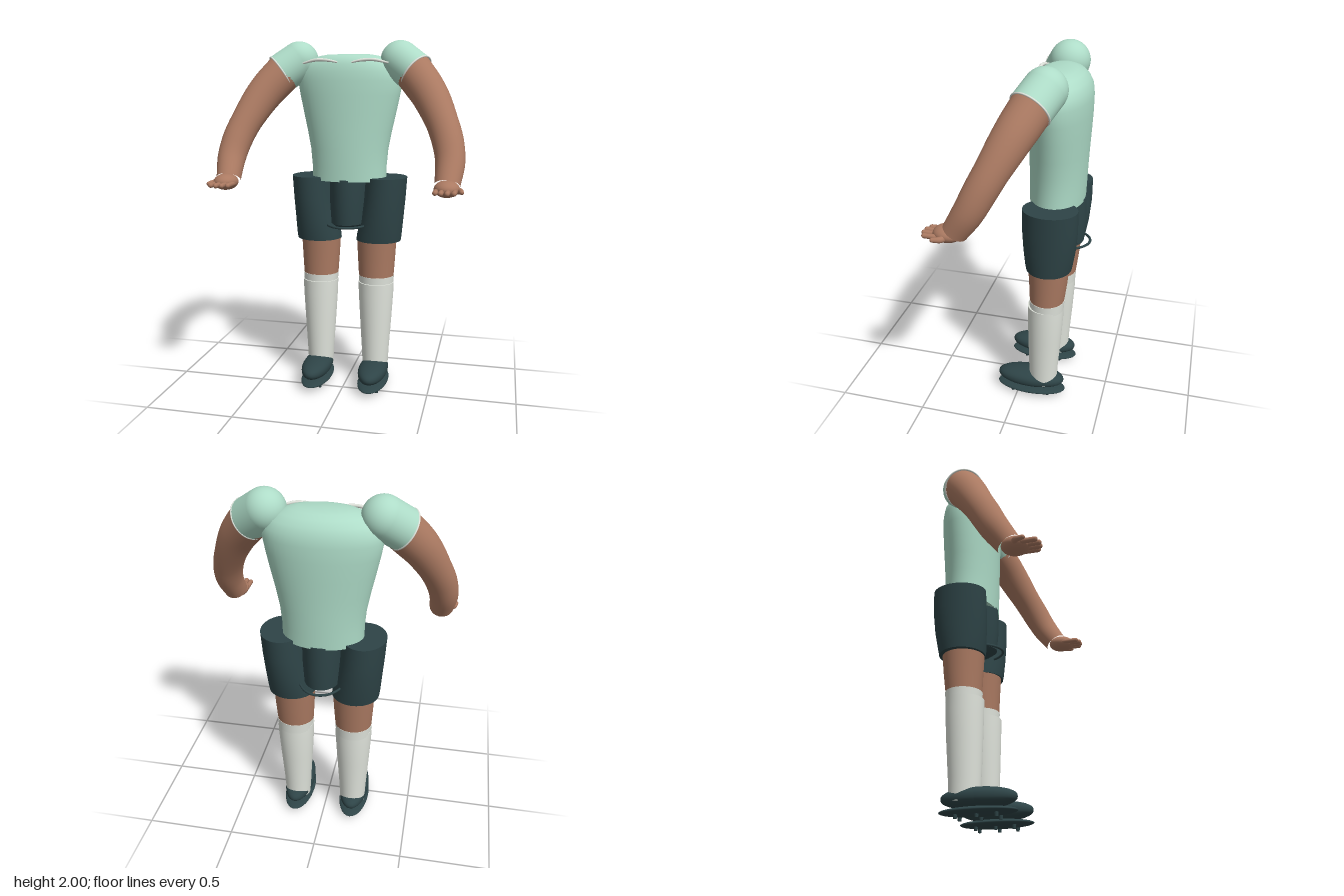
import * as THREE from 'three';
import { toCreasedNormals } from 'three/addons/utils/BufferGeometryUtils.js';

const material = (name, color) => {
  const m = new THREE.MeshStandardMaterial({ color });
  m.name = name;
  return m;
};

// Vertical form through elliptical sections [y, x, z, halfWidth, halfDepth], bottom to top
function loft(sections, sides = 40) {
  const n = sections.length - 1;
  const geo = new THREE.CylinderGeometry(1, 1, 1, sides, n);
  const p = geo.attributes.position;
  for (let i = 0; i < p.count; i++) {
    const [y, x, z, w, d] = sections[Math.round((p.getY(i) + 0.5) * n)];
    p.setXYZ(i, x + p.getX(i) * w, y, z + p.getZ(i) * d);
  }
  return toCreasedNormals(geo, 0.7);
}

// Round limb along a curve with radii spread evenly over its length
function limb(points, radii, segments = 24, sides = 28) {
  const curve = new THREE.CatmullRomCurve3(points.map((q) => new THREE.Vector3(...q)));
  const geo = new THREE.TubeGeometry(curve, segments, 1, sides);
  const p = geo.attributes.position;
  const v = new THREE.Vector3();
  for (let i = 0; i < p.count; i++) {
    const t = Math.floor(i / (sides + 1)) / segments;
    const f = t * (radii.length - 1);
    const k = Math.min(Math.floor(f), radii.length - 2);
    const r = THREE.MathUtils.lerp(radii[k], radii[k + 1], f - k);
    const c = curve.getPointAt(t);
    v.fromBufferAttribute(p, i).sub(c).multiplyScalar(r).add(c);
    p.setXYZ(i, v.x, v.y, v.z);
  }
  return geo;
}

export function createModel() {
  const mint = material('mint shirt', 0xaedcc8);
  const skin = material('skin', 0xab7a62);
  const dark = material('dark green', 0x2e4447);
  const white = material('off white', 0xe0e4dc);
  mint.side = THREE.DoubleSide;

  const model = new THREE.Group();
  model.name = 'figure';
  const add = (parent, name, geo, mat) => {
    const mesh = new THREE.Mesh(geo, mat);
    mesh.name = name;
    parent.add(mesh);
    return mesh;
  };
  const ball = (parent, name, mat, pos, size) => {
    const mesh = add(parent, name, new THREE.SphereGeometry(1, 32, 20), mat);
    mesh.position.set(...pos);
    mesh.scale.set(...size);
    return mesh;
  };

  // Shirt body
  add(model, 'torso', loft([
    [1.22, 0, -0.178, 0.217, 0.148],
    [1.3, 0, -0.179, 0.217, 0.15],
    [1.4, 0, -0.18, 0.226, 0.152],
    [1.5, 0, -0.182, 0.245, 0.154],
    [1.6, 0, -0.185, 0.267, 0.156],
    [1.7, 0, -0.187, 0.288, 0.158],
    [1.78, 0, -0.188, 0.302, 0.157],
    [1.83, 0, -0.187, 0.295, 0.152],
    [1.87, 0, -0.182, 0.268, 0.138],
    [1.9, 0, -0.175, 0.22, 0.118],
    [1.917, 0, -0.17, 0.17, 0.09],
    [1.925, 0, -0.17, 0.125, 0.06],
  ], 48), mint);

  // Middle of the shorts with its lower hem ring
  add(model, 'shortsMiddle', loft([
    [0.945, 0, -0.18, 0.035, 0.05],
    [0.95, 0, -0.18, 0.08, 0.12],
    [0.97, 0, -0.18, 0.105, 0.148],
    [1.1, 0, -0.18, 0.111, 0.158],
    [1.23, 0, -0.18, 0.112, 0.153],
  ]), dark);
  const hem = add(model, 'shortsHemRing', new THREE.TorusGeometry(1, 0.04, 10, 48), dark);
  hem.rotation.x = Math.PI / 2;
  hem.scale.set(0.13, 0.183, 0.18);
  hem.position.set(0, 0.963, -0.18);

  for (const s of [1, -1]) {
    const side = s > 0 ? 'left' : 'right';
    const leg = new THREE.Group();
    const arm = new THREE.Group();
    leg.name = side + 'Leg';
    arm.name = side + 'Arm';
    model.add(leg, arm);

    // Collar strip
    add(model, side + 'Collar', limb([
      [s * 0.04, 1.88, -0.048], [s * 0.09, 1.89, -0.045],
      [s * 0.16, 1.893, -0.048], [s * 0.24, 1.876, -0.066],
    ], [0.005, 0.009, 0.009, 0.005], 20, 10), white);

    // Leg: shorts, thigh, sock and cuff
    add(leg, 'shortsLeg', loft([
      [0.87, s * 0.177, -0.172, 0.13, 0.125],
      [0.9, s * 0.181, -0.173, 0.13, 0.13],
      [1.0, s * 0.195, -0.178, 0.124, 0.142],
      [1.12, s * 0.209, -0.181, 0.12, 0.149],
      [1.24, s * 0.218, -0.182, 0.119, 0.147],
    ]), dark);
    add(leg, 'thigh', loft([
      [0.65, s * 0.167, -0.162, 0.102, 0.096],
      [0.76, s * 0.167, -0.167, 0.109, 0.105],
      [0.89, s * 0.167, -0.17, 0.116, 0.115],
    ]), skin);
    add(leg, 'sockCuff', loft([
      [0.6, s * 0.168, -0.161, 0.1, 0.096],
      [0.66, s * 0.168, -0.162, 0.104, 0.099],
    ]), white);
    add(leg, 'sock', loft([
      [0.08, s * 0.168, -0.147, 0.074, 0.08],
      [0.2, s * 0.168, -0.147, 0.08, 0.085],
      [0.4, s * 0.168, -0.152, 0.093, 0.095],
      [0.55, s * 0.168, -0.155, 0.102, 0.101],
      [0.62, s * 0.168, -0.155, 0.104, 0.101],
    ]), white);

    // Shoe, sole and studs
    const shoe = ball(leg, 'shoe', dark, [s * 0.17, 0.101, -0.072], [0.084, 0.053, 0.198]);
    const p = shoe.geometry.attributes.position;
    for (let i = 0; i < p.count; i++) { // fuller ends in profile
      p.setY(i, Math.sign(p.getY(i)) * Math.pow(Math.abs(p.getY(i)), 0.85));
    }
    shoe.geometry.computeVertexNormals();
    ball(leg, 'sole', dark, [s * 0.17, 0.035, -0.075], [0.087, 0.022, 0.204]);
    for (const [x, z] of [[-0.04, 0.03], [0.04, 0.03], [-0.04, -0.07], [0.04, -0.07], [-0.035, -0.18], [0.035, -0.18]]) {
      const stud = add(leg, 'stud', new THREE.CylinderGeometry(0.012, 0.009, 0.025, 12), dark);
      stud.position.set(s * 0.17 + x, 0.0125, z);
    }

    // Shoulder and short sleeve
    const shoulder = [s * 0.29, 1.89, -0.165];
    const cuff = [s * 0.385, 1.82, -0.117];
    ball(arm, 'shoulder', mint, shoulder, [0.11, 0.11, 0.11]);
    add(arm, 'sleeve', limb([shoulder, cuff], [0.11, 0.11], 4, 36), mint);
    const trim = add(arm, 'sleeveTrim', new THREE.TorusGeometry(0.108, 0.005, 10, 40), white);
    trim.position.set(...cuff);
    const axis = new THREE.Vector3(...cuff).sub(new THREE.Vector3(...shoulder)).normalize();
    trim.quaternion.setFromUnitVectors(new THREE.Vector3(0, 0, 1), axis);

    // Bare arm
    add(arm, 'bareArm', limb([
      [s * 0.36, 1.84, -0.13], [s * 0.465, 1.71, -0.055], [s * 0.535, 1.585, 0.012],
      [s * 0.58, 1.475, 0.07], [s * 0.601, 1.37, 0.125], [s * 0.595, 1.255, 0.2],
    ], [0.107, 0.104, 0.096, 0.086, 0.083, 0.077, 0.066], 32), skin);

    // Hand with four fingers and an outward thumb
    ball(arm, 'palm', skin, [s * 0.596, 1.243, 0.235], [0.066, 0.044, 0.076]);
    for (const [x, tip] of [[0.64, 0.35], [0.607, 0.362], [0.575, 0.36], [0.546, 0.345]]) {
      const finger = add(arm, 'finger', new THREE.CapsuleGeometry(0.0135, 0.085, 6, 12), skin);
      finger.rotation.x = Math.PI / 2;
      finger.position.set(s * x, 1.236, tip - 0.05);
    }
    add(arm, 'thumb', limb([
      [s * 0.63, 1.238, 0.235], [s * 0.662, 1.237, 0.25], [s * 0.674, 1.236, 0.288],
    ], [0.02, 0.016, 0.012], 12, 12), skin);
    ball(arm, 'thumbTip', skin, [s * 0.674, 1.236, 0.288], [0.012, 0.012, 0.012]);
  }
  return model;
}
